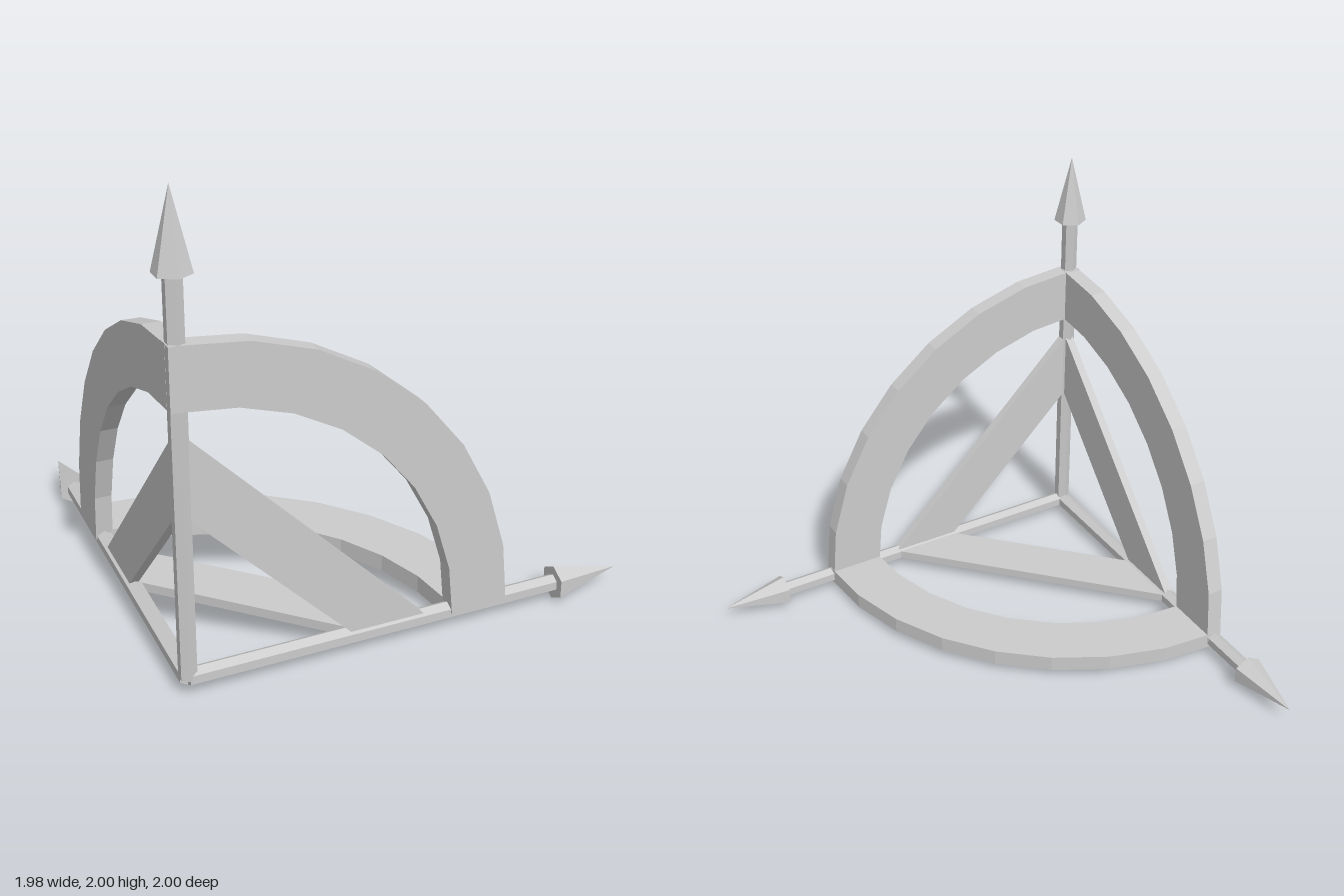
import * as THREE from 'three';

const material = new THREE.MeshStandardMaterial({ color: 0xcccccc, flatShading: true });

function part(name, geometry) {
  const mesh = new THREE.Mesh(geometry, material);
  mesh.name = name;
  return mesh;
}

// Flat plate from an outline, centred on its own plane
function plate(name, points, depth) {
  const shape = new THREE.Shape(points.map(([x, y]) => new THREE.Vector2(x, y)));
  const geometry = new THREE.ExtrudeGeometry(shape, { depth, bevelEnabled: false });
  geometry.translate(0, 0, -depth / 2);
  return part(name, geometry);
}

// Six-sided shaft with a cone tip, pointing up
function arrow(name) {
  const group = new THREE.Group();
  group.name = name;
  const shaft = part('shaft', new THREE.CylinderGeometry(0.037, 0.037, 1.62, 6).translate(0, 0.81, 0));
  const tip = part('arrowTip', new THREE.ConeGeometry(0.075, 0.31, 6).translate(0, 1.765, 0));
  group.add(shaft, tip);
  return group;
}

// Quarter ring and diagonal brace lying in one plane
function quadrant(name, overlap) {
  const group = new THREE.Group();
  group.name = name;
  const outer = [], inner = [];
  const steps = 8;
  for (let i = 0; i <= steps; i++) {
    const a = (i / steps) * Math.PI / 2;
    outer.push([1.36 * Math.cos(a), 1.36 * Math.sin(a)]);
    inner.unshift([1.11 * Math.cos(a), 1.11 * Math.sin(a)]);
  }
  // Carry the upper end across the shaft where asked
  const cap = overlap ? [[-overlap, 1.36], [-overlap, 1.11]] : [];
  group.add(plate('arc', [...outer, ...cap, ...inner], 0.075));
  group.add(plate('diagonalBrace', [[0.695, 0], [1.015, 0], [0, 1.015], [0, 0.695]], 0.04));
  return group;
}

export function createModel() {
  const model = new THREE.Group();
  model.name = 'axisFrame';
  const frame = new THREE.Group();
  frame.name = 'frame';
  frame.position.set(-0.928, 0.08, 0.923);
  model.add(frame);

  // Three arrows from the shared corner
  const up = arrow('upArrow');
  const side = arrow('sideArrow');
  side.children.forEach((m) => m.geometry.rotateY(Math.PI / 2));
  side.rotation.z = -Math.PI / 2;
  const back = arrow('backArrow');
  back.rotation.x = -Math.PI / 2;

  // One quadrant between each pair of arrows
  const front = quadrant('frontQuadrant', 0.037);
  const left = quadrant('sideQuadrant', 0);
  left.rotation.y = Math.PI / 2;
  const floor = quadrant('floorQuadrant', 0);
  floor.rotation.x = -Math.PI / 2;

  frame.add(up, side, back, front, left, floor);
  return model;
}
